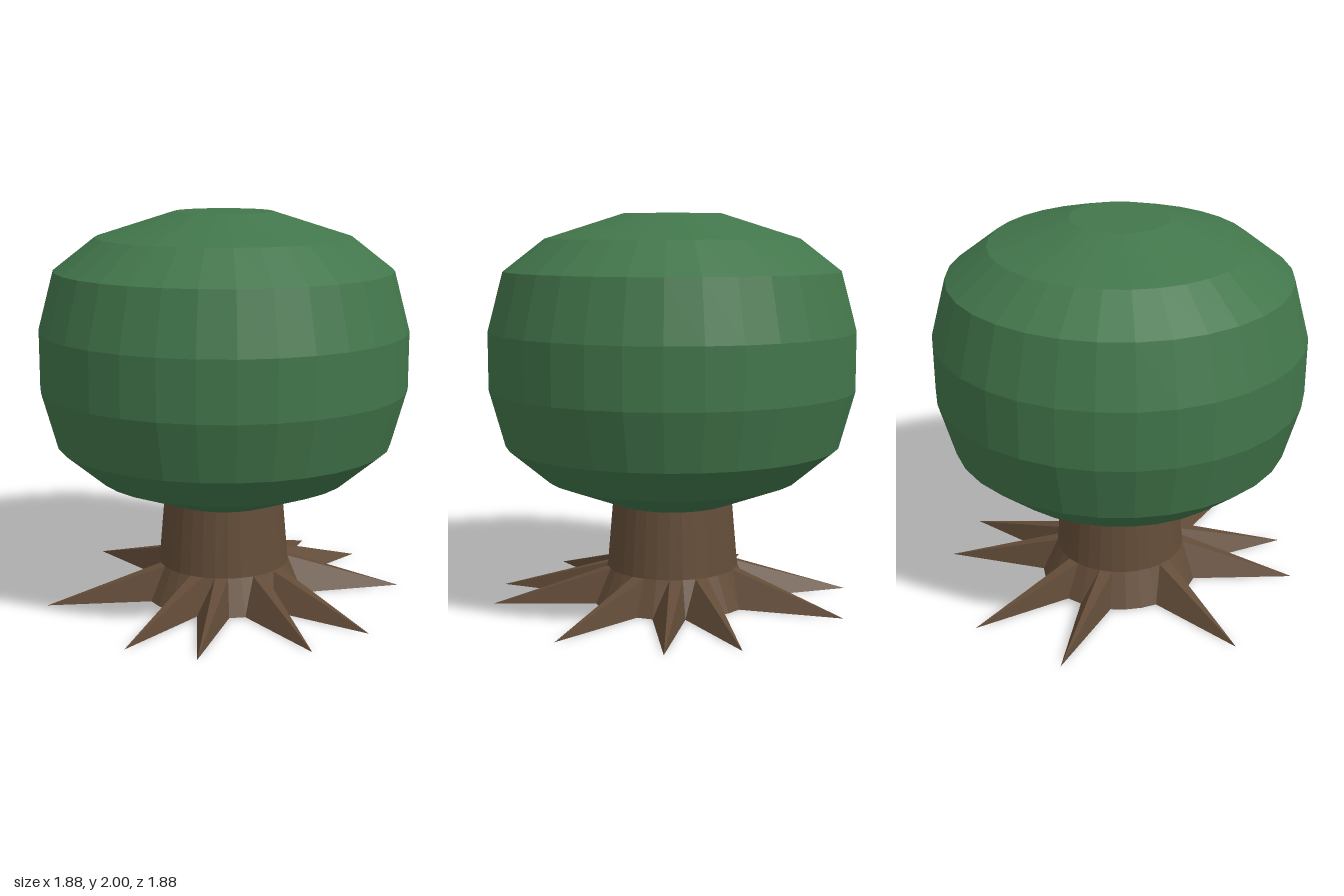
import * as THREE from 'three';

const SIDES = 32;

export function createModel() {
  const tree = new THREE.Group();
  tree.name = 'tree';

  const leafGreen = new THREE.MeshStandardMaterial({ color: 0x42764b, flatShading: true });
  leafGreen.name = 'leaf green';
  const barkBrown = new THREE.MeshStandardMaterial({ color: 0x634c38, flatShading: true });
  barkBrown.name = 'bark brown';

  const add = (name, geometry, material, y = 0) => {
    const mesh = new THREE.Mesh(geometry, material);
    mesh.name = name;
    mesh.position.y = y;
    tree.add(mesh);
  };

  // Rounded crown, turned from a faceted profile
  const profile = [
    [0.31, 0.52], [0.655, 0.652], [0.86, 0.825], [0.94, 1.115], [0.94, 1.41],
    [0.86, 1.71], [0.65, 1.873], [0.25, 2], [0, 2],
  ].map(([r, y]) => new THREE.Vector2(r, y));
  add('crown', new THREE.LatheGeometry(profile, SIDES), leafGreen);

  // Tapered trunk
  add('trunk', new THREE.CylinderGeometry(0.31, 0.34, 0.345, SIDES, 1, true), barkBrown, 0.3525);

  // Flared base; some corners of its bottom ring are pulled out into pointed roots
  const rootCorners = new Set([1, 3, 7, 10, 12, 16, 19, 24, 28, 30]);
  const roots = new THREE.CylinderGeometry(0.34, 0.42, 0.18, SIDES, 1);
  const pos = roots.attributes.position;
  for (let i = 0; i < pos.count; i++) {
    const x = pos.getX(i), z = pos.getZ(i), r = Math.hypot(x, z);
    if (pos.getY(i) > 0 || r < 0.1) continue;
    const corner = Math.round((Math.atan2(x, z) / (2 * Math.PI)) * SIDES + SIDES) % SIDES;
    if (rootCorners.has(corner)) {
      pos.setX(i, (x / r) * 0.94);
      pos.setZ(i, (z / r) * 0.94);
    }
  }
  roots.computeVertexNormals();
  add('roots', roots, barkBrown, 0.09);

  return tree;
}
